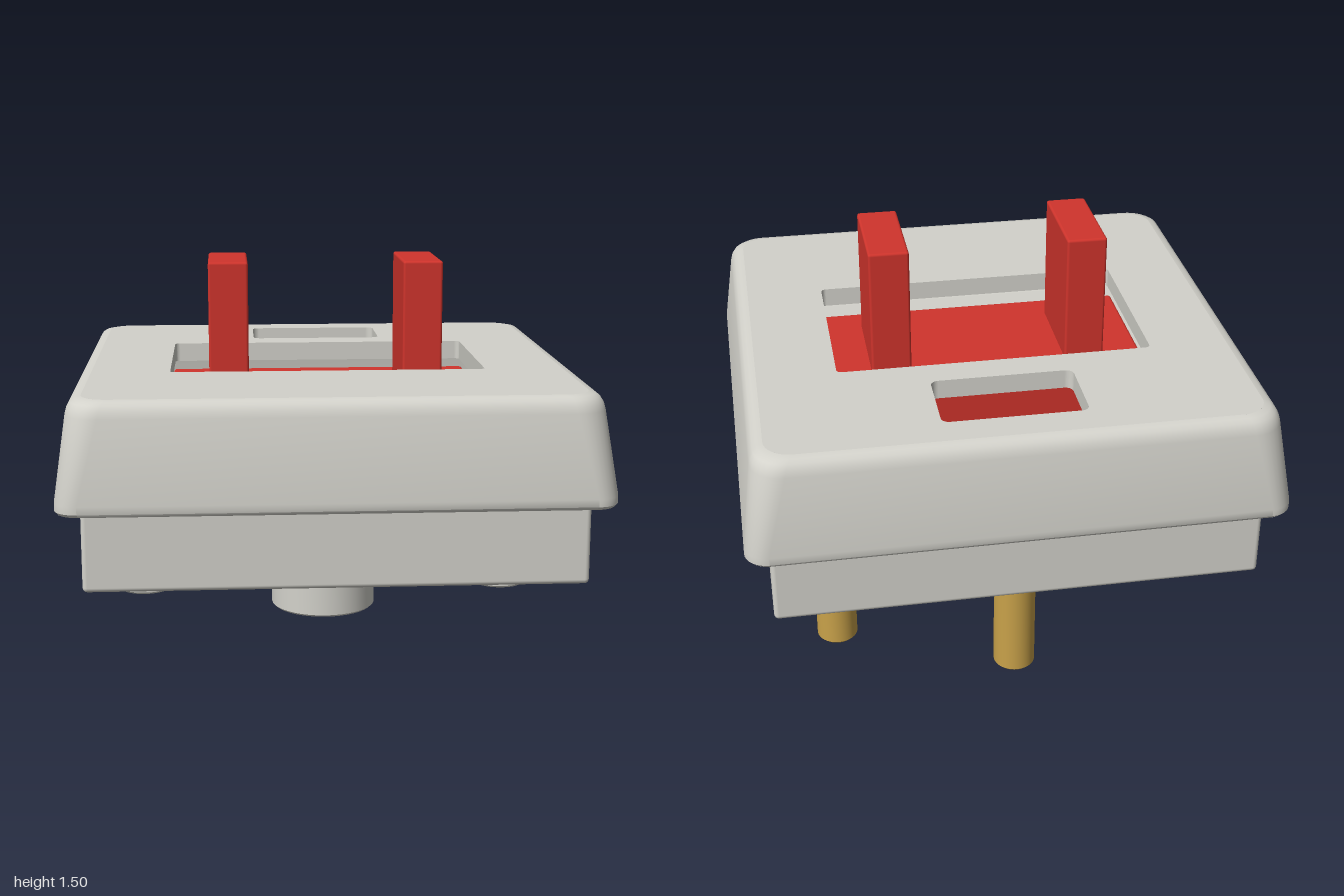
import * as THREE from 'three';
import { toCreasedNormals } from 'three/addons/utils/BufferGeometryUtils.js';
import { RoundedBoxGeometry } from 'three/addons/geometries/RoundedBoxGeometry.js';

const material = (name, color, extra = {}) => new THREE.MeshStandardMaterial({ name, color, ...extra });

// Rounded rectangle outline, centred on (cx, cy)
function roundedRect(Type, hw, hh, r, cx = 0, cy = 0) {
  const path = new Type();
  path.absarc(cx + hw - r, cy + hh - r, r, 0, Math.PI / 2);
  path.absarc(cx - hw + r, cy + hh - r, r, Math.PI / 2, Math.PI);
  path.absarc(cx - hw + r, cy - hh + r, r, Math.PI, Math.PI * 1.5);
  path.absarc(cx + hw - r, cy - hh + r, r, Math.PI * 1.5, Math.PI * 2);
  path.closePath();
  return path;
}

// Skin through square rings with rounded corners: [half width, height, corner radius]
function loftSquare(rings, seg = 8) {
  const pos = [], index = [], n = 4 * (seg + 1);
  for (const [h, y, r] of rings) {
    for (let c = 0; c < 4; c++) {
      const sx = c === 0 || c === 3 ? 1 : -1, sz = c < 2 ? 1 : -1;
      for (let k = 0; k <= seg; k++) {
        const a = (c + k / seg) * Math.PI / 2;
        pos.push(sx * (h - r) + r * Math.cos(a), y, sz * (h - r) + r * Math.sin(a));
      }
    }
  }
  for (let i = 0; i < rings.length - 1; i++) {
    for (let j = 0; j < n; j++) {
      const a = i * n + j, b = i * n + (j + 1) % n;
      index.push(a, a + n, b, b, a + n, b + n);
    }
  }
  const g = new THREE.BufferGeometry();
  g.setAttribute('position', new THREE.Float32BufferAttribute(pos, 3));
  g.setIndex(index);
  return toCreasedNormals(g, 0.7);
}

// Cylinder with a small chamfer at its lower end
function post(r, y0, y1, bevel = 0.008) {
  const pts = [[0, y0], [r - bevel, y0], [r, y0 + bevel], [r, y1], [0, y1]];
  return toCreasedNormals(new THREE.LatheGeometry(pts.map(p => new THREE.Vector2(...p)), 40), 0.5);
}

// Spring wire winding upward around the centre post
class Helix extends THREE.Curve {
  getPoint(t, target = new THREE.Vector3()) {
    const a = 0.1 + t * Math.PI * 4;
    const y = Math.max(0.19, 0.165 + 0.137 * a / (Math.PI * 2));
    return target.set(0.235 * Math.cos(a), y, -0.235 * Math.sin(a));
  }
}

export function createModel() {
  const model = new THREE.Group();
  model.name = 'switch';
  const grey = material('housing grey', 0xd3d2cb, { side: THREE.DoubleSide });
  const red = material('stem red', 0xd0342c);
  const gold = material('pin gold', 0xc9a24a);
  const steel = material('spring steel', 0xa3a6b0);

  function add(name, geometry, mat, x = 0, y = 0, z = 0, parent = model) {
    const mesh = new THREE.Mesh(geometry, mat);
    mesh.name = name;
    mesh.position.set(x, y, z);
    parent.add(mesh);
    return mesh;
  }

  // Upper housing: tapered skin, pierced top plate and flat floor
  const cover = new THREE.Group();
  cover.name = 'upperHousing';
  model.add(cover);
  add('coverSkin', loftSquare([
    [0.99, 0.7, 0.08], [1, 0.712, 0.085], [1, 0.74, 0.085], [0.96, 1.04, 0.12],
    [0.954, 1.064, 0.12], [0.942, 1.084, 0.115], [0.927, 1.095, 0.11], [0.905, 1.1, 0.1],
  ]), grey, 0, 0, 0, cover);

  const top = roundedRect(THREE.Shape, 0.905, 0.905, 0.1);
  top.holes.push(roundedRect(THREE.Path, 0.605, 0.355, 0.02));
  top.holes.push(roundedRect(THREE.Path, 0.27, 0.15, 0.03, 0, 0.63));
  const plate = new THREE.ExtrudeGeometry(top, { depth: 0.075, bevelEnabled: false, curveSegments: 8 });
  plate.rotateX(-Math.PI / 2);
  add('coverPlate', plate, grey, 0, 1.025, 0, cover);

  const floor = new THREE.ShapeGeometry(roundedRect(THREE.Shape, 0.99, 0.99, 0.08), 8);
  floor.rotateX(Math.PI / 2);
  add('coverFloor', floor, grey, 0, 0.7, 0, cover);

  // Lower housing with its centre post and two side pegs
  add('lowerHousing', new RoundedBoxGeometry(1.824, 0.297, 1.824, 3, 0.018), grey, 0, 0.55, 0);
  add('centrePost', post(0.212, 0.06, 0.42), grey);
  for (const side of [-1, 1]) add('sidePeg', post(0.116, 0.14, 0.42), grey, side * 0.735);

  // Sliding stem: body, sloped front tab and two upright posts
  const stem = new THREE.Group();
  stem.name = 'stem';
  model.add(stem);
  add('stemBody', new RoundedBoxGeometry(1.22, 0.28, 0.62, 2, 0.012), red, 0, 0.86, 0, stem);
  const wedge = new THREE.Shape([[-0.28, 0.97], [-0.28, 0.74], [-0.4, 0.74], [-0.4, 0.79], [-0.3, 0.98]]
    .map(p => new THREE.Vector2(...p)));
  const tab = new THREE.ExtrudeGeometry(wedge, { depth: 0.26, bevelEnabled: false });
  tab.rotateY(Math.PI / 2);
  add('stemTab', tab, red, -0.13, 0, 0, stem);
  for (const side of [-1, 1]) {
    add('stemPost', new RoundedBoxGeometry(0.155, 0.52, 0.4, 2, 0.01), red, side * 0.38, 1.24, 0, stem);
  }

  // Contact pins
  for (const [x, z] of [[0, -0.785], [0.663, -0.505]]) {
    add('contactPin', post(0.079, 0, 0.42, 0.012), gold, x, 0, z);
  }

  // Spring with closed wire ends
  const helix = new Helix();
  add('spring', new THREE.TubeGeometry(helix, 160, 0.025, 12), steel);
  for (const t of [0, 1]) {
    const p = helix.getPoint(t);
    add('springEnd', new THREE.SphereGeometry(0.025, 12, 8), steel, p.x, p.y, p.z);
  }
  return model;
}
